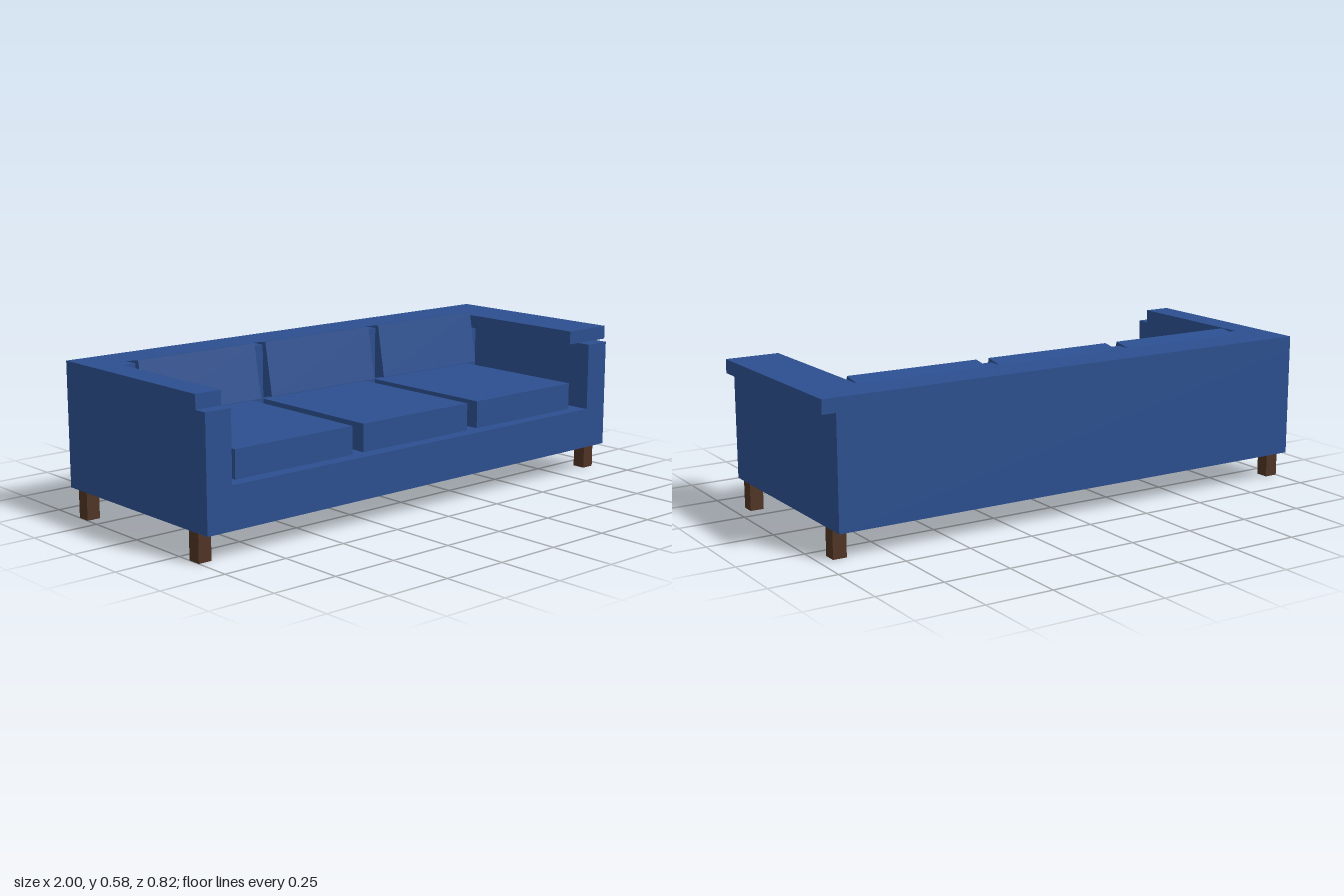
import * as THREE from 'three';

const U = 2 / 39; // one design unit: the sofa is 39 units wide
const X0 = -19.5; // right-hand outer edge, in units

export function createModel() {
  const fabric = new THREE.MeshStandardMaterial({ color: 0x2c4f8f });
  fabric.name = 'blue fabric';
  const wood = new THREE.MeshStandardMaterial({ color: 0x4f3324 });
  wood.name = 'brown wood';
  const sofa = new THREE.Group();
  sofa.name = 'sofa';

  const add = (name, geometry, material) => {
    const mesh = new THREE.Mesh(geometry, material);
    mesh.name = name;
    sofa.add(mesh);
    return mesh;
  };

  // Box from its extents, in units
  const box = (name, material, x0, x1, y0, y1, z0, z1) => {
    const mesh = add(name, new THREE.BoxGeometry((x1 - x0) * U, (y1 - y0) * U, (z1 - z0) * U), material);
    mesh.position.set((x0 + x1) / 2 * U, (y0 + y1) / 2 * U, (z0 + z1) / 2 * U);
    return mesh;
  };

  // Flat outline, in units, given a depth
  const slab = (points, depth) => new THREE.ExtrudeGeometry(
    new THREE.Shape(points.map(([x, y]) => new THREE.Vector2(x * U, y * U))),
    { depth: depth * U, bevelEnabled: false });

  const x = (n) => X0 + n;

  // Base and both arms: one U profile running front to back
  add('baseAndArms', slab([
    [x(0), 2], [x(38), 2], [x(38), 10], [x(36), 10],
    [x(36), 5], [x(2), 5], [x(2), 10], [x(0), 10],
  ], 12), fabric).position.z = -4 * U;
  box('backrest', fabric, x(0), x(38), 2, 10, -8, -4);

  // Top rail: U in plan, wider and overhanging on the left arm
  add('topRail', slab([
    [x(0), 8], [x(0), -7], [x(2), -7], [x(2), 4],
    [x(35), 4], [x(35), -7], [x(39), -7], [x(39), 8],
  ], 1).rotateX(-Math.PI / 2), fabric).position.y = 10 * U;

  // Three seat cushions with leaning back cushions
  const tilt = THREE.MathUtils.degToRad(-10);
  for (let i = 0; i < 3; i++) {
    const left = x(3 + i * 11);
    box('seatCushion', fabric, left, left + 10, 5, 7, -4, 7);
    // Pivot on the top front edge
    const geometry = new THREE.BoxGeometry(10 * U, 4 * U, 2 * U)
      .translate(0, -2 * U, -U).rotateX(tilt);
    add('backCushion', geometry, fabric).position.set((left + 5) * U, 0.577, -0.189);
  }

  // Square legs
  for (const lx of [0, 37]) {
    for (const lz of [-7, 6]) box('leg', wood, x(lx), x(lx + 1), 0, 2, lz, lz + 1);
  }
  return sofa;
}
